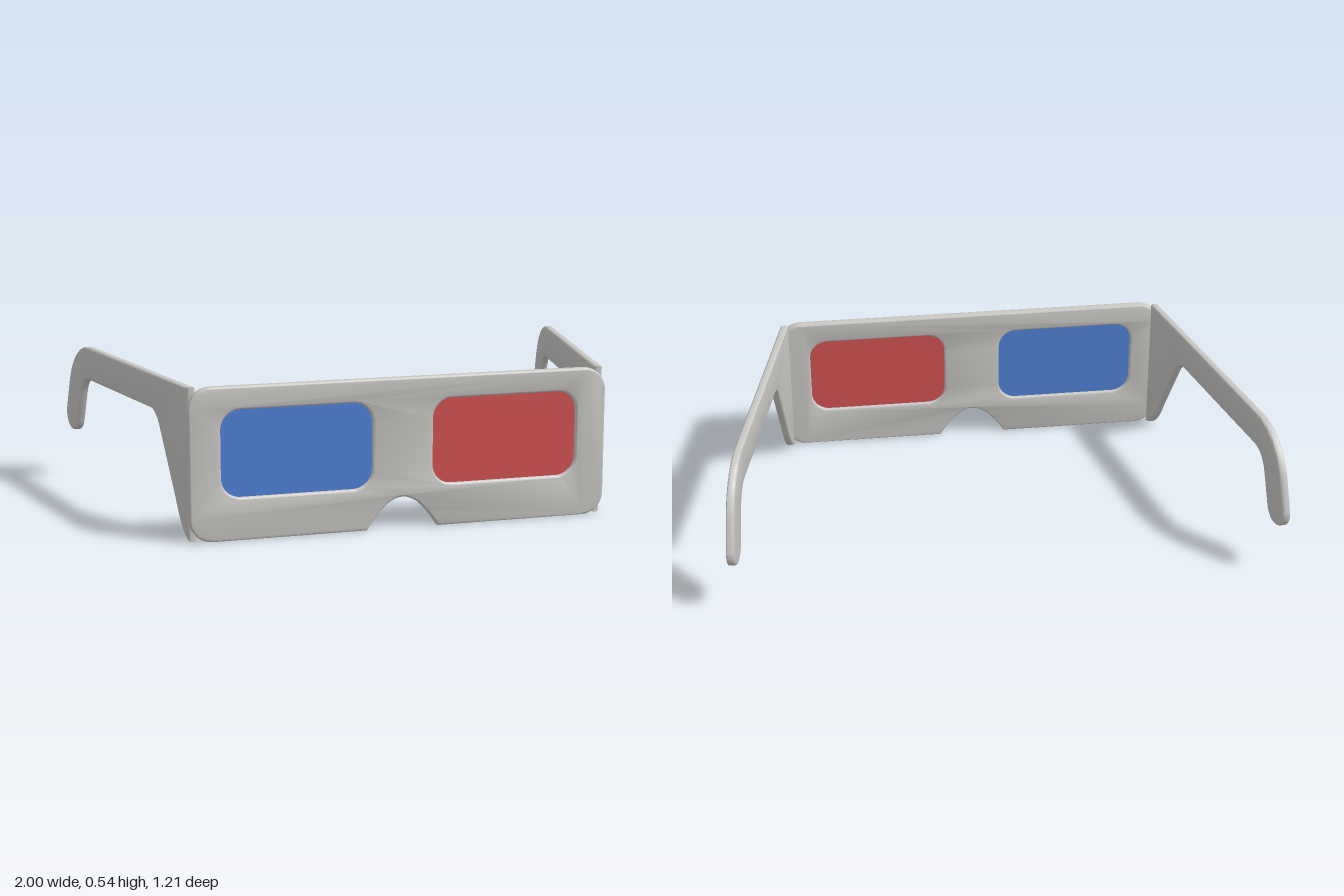
import * as THREE from 'three';
import { toCreasedNormals } from 'three/addons/utils/BufferGeometryUtils.js';

const card = new THREE.MeshStandardMaterial({ color: 0xc8c7c4 });
card.name = 'grey card';
const red = new THREE.MeshStandardMaterial({ color: 0xd25252 });
red.name = 'red film';
const blue = new THREE.MeshStandardMaterial({ color: 0x4f81d6 });
blue.name = 'blue film';

const BEVEL = 0.008;

// Extrude a shape to a total thickness with softly rounded edges, centred on its depth
function slab(shape, thickness, bevel = BEVEL) {
  const geometry = new THREE.ExtrudeGeometry(shape, {
    depth: thickness - 2 * bevel,
    bevelEnabled: bevel > 0,
    bevelSize: bevel,
    bevelThickness: bevel,
    bevelOffset: -bevel,
    bevelSegments: 3,
    curveSegments: 16,
  });
  geometry.translate(0, 0, bevel - thickness / 2);
  return geometry;
}

// Rounded rectangle traced on a Shape or Path
function roundedRect(path, x0, y0, x1, y1, r) {
  path.moveTo(x0 + r, y0);
  path.lineTo(x1 - r, y0);
  path.absarc(x1 - r, y0 + r, r, -Math.PI / 2, 0);
  path.lineTo(x1, y1 - r);
  path.absarc(x1 - r, y1 - r, r, 0, Math.PI / 2);
  path.lineTo(x0 + r, y1);
  path.absarc(x0 + r, y1 - r, r, Math.PI / 2, Math.PI);
  path.lineTo(x0, y0 + r);
  path.absarc(x0 + r, y0 + r, r, Math.PI, Math.PI * 1.5);
  return path;
}

function lensOutline(path, side) {
  const c = side * 0.378;
  return roundedRect(path, c - 0.268, 0.15, c + 0.268, 0.455, 0.07);
}

// Front plate with nose notch and two lens openings
function frontShape() {
  const w = 0.757, h = 0.535, r = 0.08;
  const s = new THREE.Shape();
  s.moveTo(-w + r, 0);
  s.lineTo(-0.13, 0);
  s.quadraticCurveTo(-0.06, 0.112, 0, 0.112);
  s.quadraticCurveTo(0.06, 0.112, 0.13, 0);
  s.lineTo(w - r, 0);
  s.absarc(w - r, r, r, -Math.PI / 2, 0);
  s.lineTo(w, h - r);
  s.absarc(w - r, h - r, r, 0, Math.PI / 2);
  s.lineTo(-w + r, h);
  s.absarc(-w + r, h - r, r, Math.PI / 2, Math.PI);
  s.lineTo(-w, r);
  s.absarc(-w + r, r, r, Math.PI, Math.PI * 1.5);
  for (const side of [-1, 1]) s.holes.push(lensOutline(new THREE.Path(), side));
  return s;
}

// Temple arm outline: x runs backwards from the front plate
function armShape() {
  const s = new THREE.Shape();
  s.moveTo(0, 0);
  s.quadraticCurveTo(0.055, 0.005, 0.115, 0.13);
  s.lineTo(0.24, 0.35);
  s.quadraticCurveTo(0.275, 0.41, 0.32, 0.41);
  s.lineTo(0.925, 0.41);
  s.quadraticCurveTo(0.99, 0.41, 1.015, 0.345);
  s.lineTo(1.06, 0.225);
  // rounded ear tip
  s.absarc(1.118, 0.246, 0.062, Math.PI * 1.11, Math.PI * 2.11);
  s.lineTo(1.135, 0.385);
  s.bezierCurveTo(1.095, 0.48, 1.015, 0.535, 0.925, 0.535);
  s.lineTo(0, 0.535);
  s.lineTo(0, 0);
  return s;
}

export function createModel() {
  const model = new THREE.Group();
  model.name = 'cardGlasses';
  const add = (name, geometry, material) => {
    const mesh = new THREE.Mesh(toCreasedNormals(geometry, 0.6), material);
    mesh.name = name;
    model.add(mesh);
  };

  add('frontPlate', slab(frontShape(), 0.037).translate(0, 0, 0.587), card);

  for (const side of [-1, 1]) {
    const label = side > 0 ? 'left' : 'right';

    // Coloured film in the middle of the opening
    const film = slab(lensOutline(new THREE.Shape(), side), 0.008, 0);
    add(label + 'Lens', film.translate(0, 0, 0.587), side > 0 ? red : blue);

    // Arm splayed outwards towards the back
    const splay = new THREE.Matrix4().makeBasis(
      new THREE.Vector3(side * 0.208, 0, -1),
      new THREE.Vector3(0, 1, 0),
      new THREE.Vector3(1, 0, 0),
    ).setPosition(side * 0.74, 0, 0.576);
    add(label + 'Arm', slab(armShape(), 0.03).applyMatrix4(splay), card);
  }
  return model;
}
